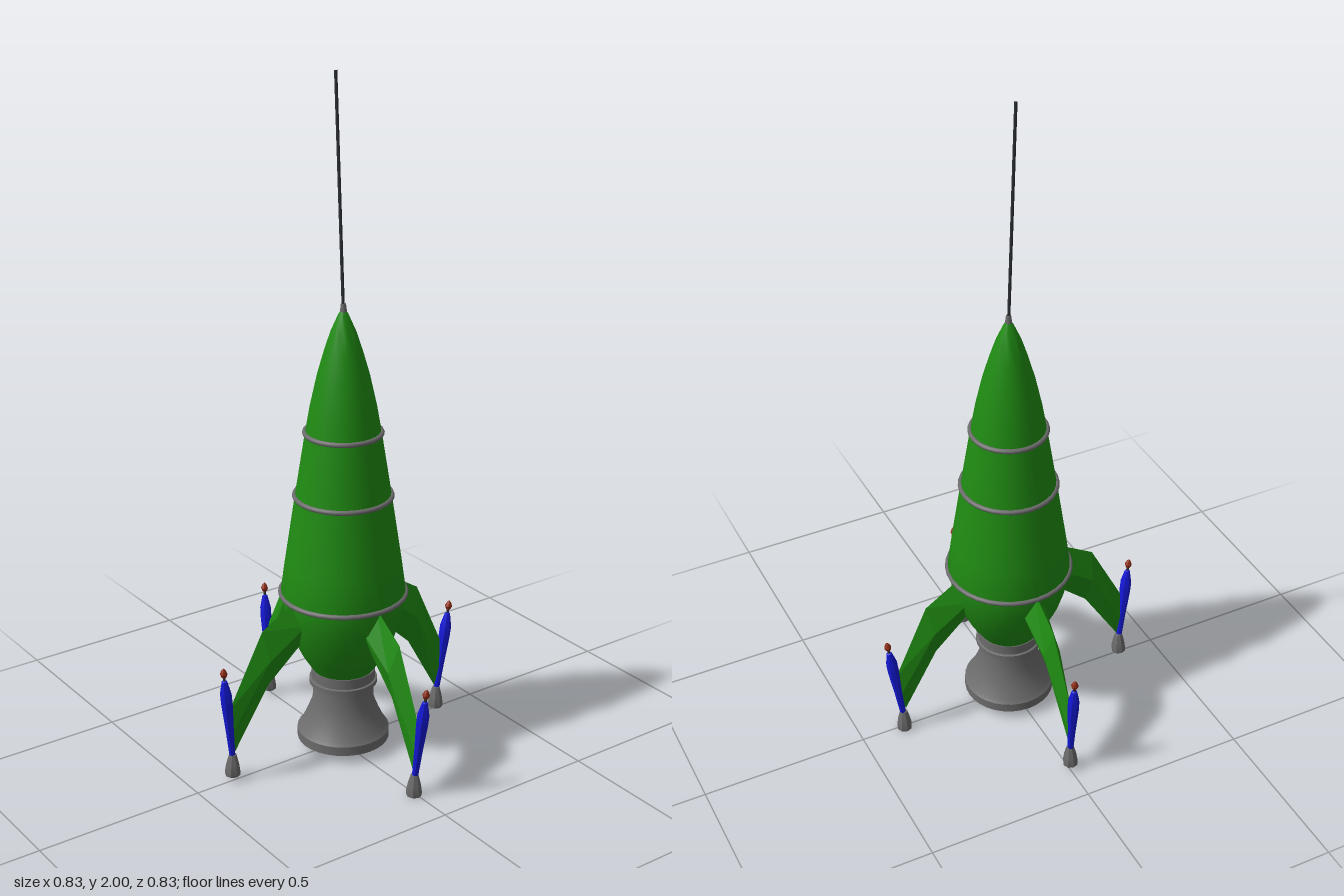
import * as THREE from 'three';
import { toCreasedNormals } from 'three/addons/utils/BufferGeometryUtils.js';

const paint = (color, flatShading = false) => new THREE.MeshStandardMaterial({ color, flatShading });
const green = paint(0x1f8a12);
const greenFlat = paint(0x1f8a12, true);
const steel = paint(0x6c6c6c);
const blue = paint(0x1418d8);
const red = paint(0x8c2a12);
const dark = paint(0x2c3036);

function add(parent, name, geometry, material) {
  const mesh = new THREE.Mesh(geometry, material);
  mesh.name = name;
  parent.add(mesh);
  return mesh;
}

// Turned part from [radius, height] pairs
function turned(points, sides, crease = 0.6) {
  const profile = points.map(([r, y]) => new THREE.Vector2(r, y));
  return toCreasedNormals(new THREE.LatheGeometry(profile, sides), crease);
}

// Swept fin: diamond cross-sections from hull to pod, x pointing outward
function finGeometry() {
  const stations = [
    { outer: [0.165, 0.508], inner: [0.135, 0.37], half: 0.036 },
    { outer: [0.277, 0.44], inner: [0.253, 0.265], half: 0.026 },
    { outer: [0.385, 0.22], inner: [0.364, 0.082], half: 0.007 },
  ];
  const loops = stations.map(({ outer: [ox, oy], inner: [ix, iy], half }) => [
    [ox, oy, 0],
    [(ox + ix) / 2, (oy + iy) / 2, half],
    [ix, iy, 0],
    [(ox + ix) / 2, (oy + iy) / 2, -half],
  ]);
  const verts = [];
  const quad = (a, b, c, d) => verts.push(...a, ...b, ...c, ...a, ...c, ...d);
  for (let i = 0; i < loops.length - 1; i++) {
    for (let j = 0; j < 4; j++) {
      const k = (j + 1) % 4;
      quad(loops[i][j], loops[i][k], loops[i + 1][k], loops[i + 1][j]);
    }
  }
  quad(...loops[loops.length - 1]);
  quad(...[...loops[0]].reverse());
  const geometry = new THREE.BufferGeometry();
  geometry.setAttribute('position', new THREE.Float32BufferAttribute(verts, 3));
  geometry.computeVertexNormals();
  return geometry;
}

// Slim pod at the fin tip, leaning outward
function makePod() {
  const pod = new THREE.Group();
  pod.name = 'finPod';
  pod.position.set(0.374, 0.075, 0);
  const nozzle = add(pod, 'podNozzle', turned(
    [[0, -0.05], [0.016, -0.05], [0.022, -0.066], [0.023, -0.055], [0.019, -0.03], [0.011, 0], [0, 0.004]], 8), steel);
  nozzle.position.x = -0.002;
  const spindle = new THREE.Group();
  spindle.name = 'podSpindle';
  spindle.rotation.z = -0.115;
  pod.add(spindle);
  add(spindle, 'podBody', turned(
    [[0, -0.002], [0.009, 0], [0.012, 0.08], [0.017, 0.17], [0.017, 0.205], [0.008, 0.245], [0, 0.25]], 8), blue);
  add(spindle, 'podStem', new THREE.CylinderGeometry(0.004, 0.004, 0.03, 8).translate(0, 0.255, 0), dark);
  add(spindle, 'podTip', turned(
    [[0, 0.257], [0.007, 0.26], [0.011, 0.27], [0.006, 0.282], [0, 0.288]], 8), red);
  return pod;
}

export function createModel() {
  const model = new THREE.Group();
  model.name = 'rocket';

  const core = new THREE.Group();
  core.name = 'core';
  core.position.set(0.005, 0, -0.006);
  model.add(core);

  // Hull
  add(core, 'hull', turned([
    [0, 0.245], [0.088, 0.25], [0.12, 0.3], [0.151, 0.365], [0.171, 0.43], [0.182, 0.5],
    [0.168, 0.6], [0.138, 0.8], [0.108, 0.99], [0.094, 1.07], [0.074, 1.16],
    [0.054, 1.23], [0.036, 1.285], [0.014, 1.335], [0.005, 1.35], [0, 1.352],
  ], 32), green);

  // Hull bands
  for (const [y, r] of [[0.5, 0.182], [0.8, 0.139], [0.99, 0.109]]) {
    add(core, 'hullBand', new THREE.TorusGeometry(r, 0.0075, 8, 32).rotateX(Math.PI / 2).translate(0, y, 0), steel);
  }

  // Main engine, hollow from below
  add(core, 'mainNozzle', turned([
    [0, 0.17], [0.06, 0.165], [0.075, 0.13], [0.105, 0.07], [0.108, 0.03],
    [0.136, 0.03], [0.136, 0.058], [0.127, 0.068], [0.107, 0.11], [0.091, 0.15], [0.088, 0.205],
    [0.1, 0.208], [0.1, 0.222], [0.094, 0.224], [0.094, 0.255], [0, 0.255],
  ], 32), steel);

  // Slightly bent-over antenna
  const base = new THREE.Vector3(0, 1.34, 0);
  const tip = new THREE.Vector3(-0.02, 2, 0.011);
  const mast = new THREE.LineCurve3(base, tip);
  add(core, 'antenna', new THREE.TubeGeometry(mast, 1, 0.0045, 8), dark);
  add(core, 'antennaSocket', new THREE.CylinderGeometry(0.007, 0.011, 0.03, 12).translate(0, 1.35, 0), steel);

  // Four fins with pods, the set tilted a touch
  const fins = new THREE.Group();
  fins.name = 'finSet';
  fins.position.set(-0.007, 0, 0.006);
  fins.rotation.set(-0.02, 0, -0.02);
  model.add(fins);
  const finShape = finGeometry();
  for (let i = 0; i < 4; i++) {
    const arm = new THREE.Group();
    arm.name = 'finAssembly';
    arm.rotation.y = (i * Math.PI) / 2;
    add(arm, 'fin', finShape, greenFlat);
    arm.add(makePod());
    fins.add(arm);
  }
  return model;
}
